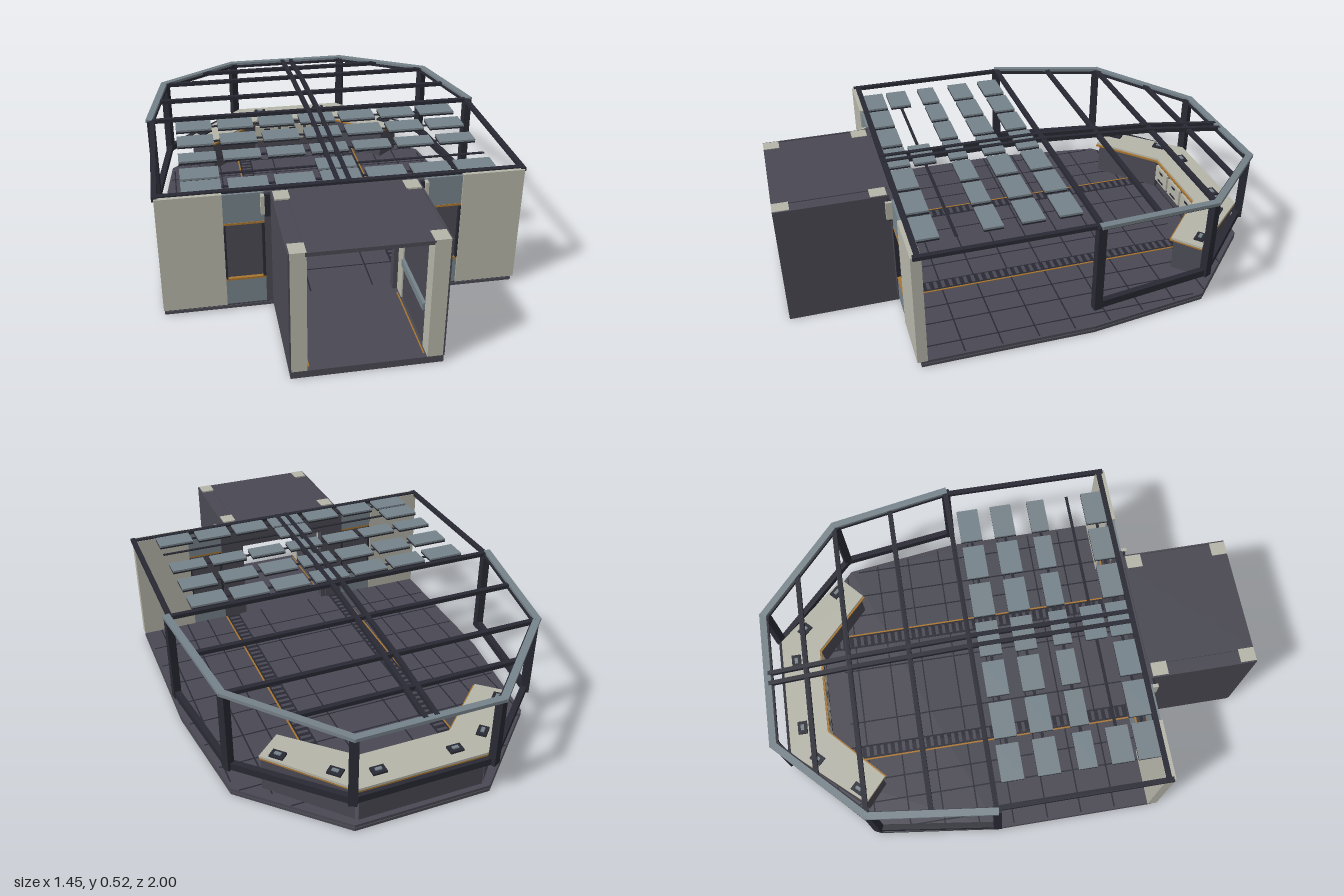
import * as THREE from 'three';

const mat = (name, color) => {
  const m = new THREE.MeshStandardMaterial({ color });
  m.name = name;
  return m;
};

export function createModel() {
  const root = new THREE.Group();
  root.name = 'bridgeRoom';
  const light = mat('paleGrey', 0xb5b5a9);
  const dark = mat('charcoal', 0x4a4953);
  const slate = mat('slate', 0x76838a);
  const black = mat('nearBlack', 0x292934);
  const orange = mat('amber', 0xa8752f);

  const add = (name, geo, m) => {
    const mesh = new THREE.Mesh(geo, m);
    mesh.name = name;
    root.add(mesh);
    return mesh;
  };
  // box given by its minimum and maximum on each axis
  const box = (name, m, x0, x1, y0, y1, z0, z1) => {
    const b = add(name, new THREE.BoxGeometry(Math.abs(x1 - x0), y1 - y0, z1 - z0), m);
    b.position.set((x0 + x1) / 2, (y0 + y1) / 2, (z0 + z1) / 2);
    return b;
  };
  const pair = (name, m, x0, x1, ...r) => {
    box(name + 'Left', m, x0, x1, ...r);
    box(name + 'Right', m, -x1, -x0, ...r);
  };
  // straight bar between two points
  const bar = (name, m, a, b, w, h) => {
    const p = new THREE.Vector3(...a), q = new THREE.Vector3(...b);
    const mesh = add(name, new THREE.BoxGeometry(w, h, p.distanceTo(q) + w * 0.5), m);
    mesh.position.copy(p).add(q).multiplyScalar(0.5);
    mesh.lookAt(q);
    return mesh;
  };
  // flat plate from an outline of [x, z] points
  const plate = (name, m, pts, y0, y1) => {
    const shape = new THREE.Shape(pts.map(([x, z]) => new THREE.Vector2(x, -z)));
    const geo = new THREE.ExtrudeGeometry(shape, { depth: y1 - y0, bevelEnabled: false });
    geo.rotateX(-Math.PI / 2);
    return add(name, geo.translate(0, y0, 0), m);
  };
  const mirrored = (half) => [...half, ...half.map(([x, z]) => [-x, z]).reverse()];

  // floor: two slabs with a thin dark gap
  const outline = mirrored([[0.695, 0.55], [0.695, -0.14], [0.63, -0.635], [0.275, -0.98]]);
  plate('floorSlab', dark, outline, 0, 0.012);
  plate('floorGap', black, outline.map(([x, z]) => [x * 0.992, z * 0.992]), 0.012, 0.016);
  plate('deck', dark, outline, 0.016, 0.028);
  const halfWidth = (z) => z > -0.14 ? 0.695
    : z > -0.64 ? 0.695 - (-0.14 - z) * 0.13 : 0.63 - (-0.64 - z) * 1.03;

  // seams between the floor tiles
  for (let i = 0; i < 9; i++) {
    const z = 0.38 - i * 0.148, w = halfWidth(z) - 0.01;
    box('floorSeamAcross', black, -w, w, 0.028, 0.0285, z - 0.003, z + 0.003);
  }
  for (const x of [0.125, 0.395, 0.495, 0.62])
    pair('floorSeamAlong', black, x - 0.003, x + 0.003, 0.028, 0.0285, x > 0.6 ? -0.6 : -0.72, 0.53);

  // grated channels with amber edging
  pair('channel', black, 0.235, 0.295, 0.028, 0.029, -0.81, 0.53);
  pair('channelEdge', orange, 0.295, 0.302, 0.028, 0.03, -0.75, 0.53);
  for (let z = -0.79; z < 0.52; z += 0.032)
    pair('grateRung', dark, 0.243, 0.287, 0.029, 0.031, z, z + 0.014);

  // entrance corridor
  box('corridorFloor', dark, -0.275, 0.275, 0, 0.028, 0.55, 1);
  box('corridorCeiling', dark, -0.22, 0.22, 0.495, 0.51, 0.56, 1);
  pair('corridorWall', dark, 0.22, 0.272, 0.028, 0.506, 0.56, 0.995);
  pair('corridorSkin', dark, 0.272, 0.278, 0.028, 0.51, 0.56, 1);
  for (const z of [0.57, 0.936])
    pair('corridorPillar', light, 0.215, 0.272, 0.028, 0.512, z, z + 0.064);
  pair('corridorRail', slate, 0.208, 0.22, 0.18, 0.21, 0.64, 0.93);
  pair('corridorTrim', orange, 0.205, 0.21, 0.028, 0.03, 0.6, 0.98);

  // door frame at the inner end of the corridor
  box('doorHeader', dark, -0.22, 0.22, 0.392, 0.5, 0.53, 0.56);
  pair('doorJamb', dark, 0.197, 0.222, 0.028, 0.5, 0.53, 0.57);
  box('headerStrip', slate, -0.2, 0.2, 0.474, 0.482, 0.56, 0.566);
  box('headerSlot', black, -0.12, 0.12, 0.486, 0.492, 0.56, 0.566);

  // entrance wall with closed windows
  pair('wallPanel', light, 0.455, 0.698, 0.028, 0.51, 0.526, 0.566);
  pair('wallInner', dark, 0.222, 0.302, 0.028, 0.505, 0.526, 0.564);
  pair('wallLower', slate, 0.302, 0.455, 0.028, 0.135, 0.53, 0.56);
  pair('wallUpper', slate, 0.302, 0.455, 0.385, 0.505, 0.53, 0.56);
  pair('window', dark, 0.302, 0.455, 0.135, 0.385, 0.538, 0.548);
  for (const y of [0.135, 0.377])
    pair('windowTrim', orange, 0.302, 0.455, y, y + 0.008, 0.53, 0.562);
  for (const x of [0.302, 0.447])
    pair('windowSide', black, x, x + 0.01, 0.143, 0.377, 0.53, 0.563);
  pair('wallLamp', light, 0.302, 0.316, 0.425, 0.5, 0.56, 0.585);
  pair('wallLampBack', black, 0.28, 0.302, 0.41, 0.5, 0.56, 0.575);

  // canopy frame: corner points at the top, and sill below
  const top = [[0.708, 0.512, -0.14], [0.638, 0.477, -0.64], [0.285, 0.433, -0.983]];
  const ring = [...top, ...top.map(([x, y, z]) => [-x, y, z]).reverse()];
  ring.forEach(([x, y, z], i) => {
    const post = box('canopyPost', black, -0.015, 0.015, 0.13, y, -0.017, 0.017);
    post.position.x = x * 0.99;
    post.position.z = z * 0.99;
    post.rotation.y = Math.sign(x) * [0.1, 0.45, 1.1][Math.min(i, 5 - i)];
    if (i === 5) return;
    const n = ring[i + 1];
    bar('canopyRail', slate, [x, y, z], n, 0.028, 0.014);
    bar('canopyRailUnder', black, [x * 0.99, y - 0.01, z * 0.99], [n[0] * 0.99, n[1] - 0.01, n[2] * 0.99], 0.022, 0.012);
    bar('canopySill', black, [x * 0.99, 0.147, z * 0.985], [n[0] * 0.99, 0.147, n[2] * 0.985], 0.024, 0.03);
  });

  // roof beams
  pair('roofEdge', black, 0.686, 0.706, 0.5, 0.515, -0.14, 0.558);
  box('roofEntranceBeam', black, -0.7, 0.7, 0.5, 0.515, 0.528, 0.55);
  for (const [z, y, w] of [[-0.14, 0.508, 0.7], [-0.39, 0.49, 0.665], [-0.64, 0.472, 0.63], [-0.82, 0.45, 0.445]])
    box('roofCrossbeam', black, -w, w, y - 0.008, y + 0.008, z - 0.01, z + 0.01);
  const spine = [[0.508, 0.545], [0.508, -0.14], [0.475, -0.64], [0.433, -0.975]];
  for (const x of [-0.022, 0.022])
    for (let i = 0; i < 3; i++)
      bar('roofSpine', black, [x, ...spine[i]], [x, ...spine[i + 1]], 0.018, 0.018);

  // roof panels in rows, one row mostly empty
  for (const [z, d] of [[-0.06, 0.09], [0.085, 0.09], [0.238, 0.075], [0.378, 0.09], [0.485, 0.09]]) {
    for (let i = -3; i <= 3; i++) {
      if (z === 0.378 && i !== -3 && i !== 0) continue;
      const x = i * 0.175, w = 0.074;
      box('roofPanel', slate, x - w, x + w, 0.504, 0.512, z - d / 2, z + d / 2);
      box('roofPanelUnderside', black, x - w, x + w, 0.497, 0.504, z - d / 2, z + d / 2);
      if (i % 2) box('roofPanelLining', orange, x - 0.05, x + 0.05, 0.495, 0.497, z - 0.025, z + 0.025);
    }
    box('panelPurlin', black, -0.6, 0.6, 0.499, 0.503, z - 0.006, z + 0.006);
  }

  // consoles: a centre desk and two angled wings
  const desk = mirrored([[0.26, -0.965], [0.19, -0.8]]);
  const wing = [[0.425, -0.58], [0.525, -0.67], [0.26, -0.965], [0.19, -0.8]];
  const desks = [desk, wing, wing.map(([x, z]) => [-x, z])];
  for (const pts of desks) {
    const cx = pts.reduce((s, p) => s + p[0], 0) / 4, cz = pts.reduce((s, p) => s + p[1], 0) / 4;
    const inset = pts.map(([x, z]) => [cx + (x - cx) * 0.97, cz + (z - cz) * 0.93]);
    plate('consoleBase', dark, inset, 0.028, 0.165);
    plate('consoleBand', orange, pts, 0.165, 0.172);
    plate('consoleTop', light, pts, 0.172, 0.182);
  }
  bar('deskEdge', orange, [-0.19, 0.169, -0.797], [0.19, 0.169, -0.797], 0.008, 0.008);
  for (const s of [-1, 1]) {
    bar('wingEdge', orange, [s * 0.19, 0.169, -0.797], [s * 0.422, 0.169, -0.578], 0.008, 0.008);
    for (const [x, z, turn] of [[0.155, -0.905, 0], [0.3, -0.855, -0.8], [0.46, -0.695, -0.8]]) {
      const screen = new THREE.Group();
      screen.name = 'consoleScreen';
      for (const [w, h, y, m] of [[0.056, 0.04, 0.186, black], [0.026, 0.014, 0.191, slate]]) {
        const part = new THREE.Mesh(new THREE.BoxGeometry(w, 0.008, h), m);
        part.name = m === black ? 'screenFrame' : 'screenKey';
        part.position.y = y;
        screen.add(part);
      }
      screen.position.set(s * x, 0, z);
      screen.rotation.y = s * turn;
      root.add(screen);
    }
  }

  // lockers under the centre desk
  for (const x of [-0.133, 0, 0.133]) {
    box('locker', light, x - 0.058, x + 0.058, 0.07, 0.148, -0.81, -0.796);
    box('lockerHandle', black, x - 0.025, x + 0.025, 0.082, 0.09, -0.796, -0.793);
    box('lockerLabel', black, x - 0.016, x + 0.016, 0.125, 0.135, -0.796, -0.794);
  }
  return root;
}
